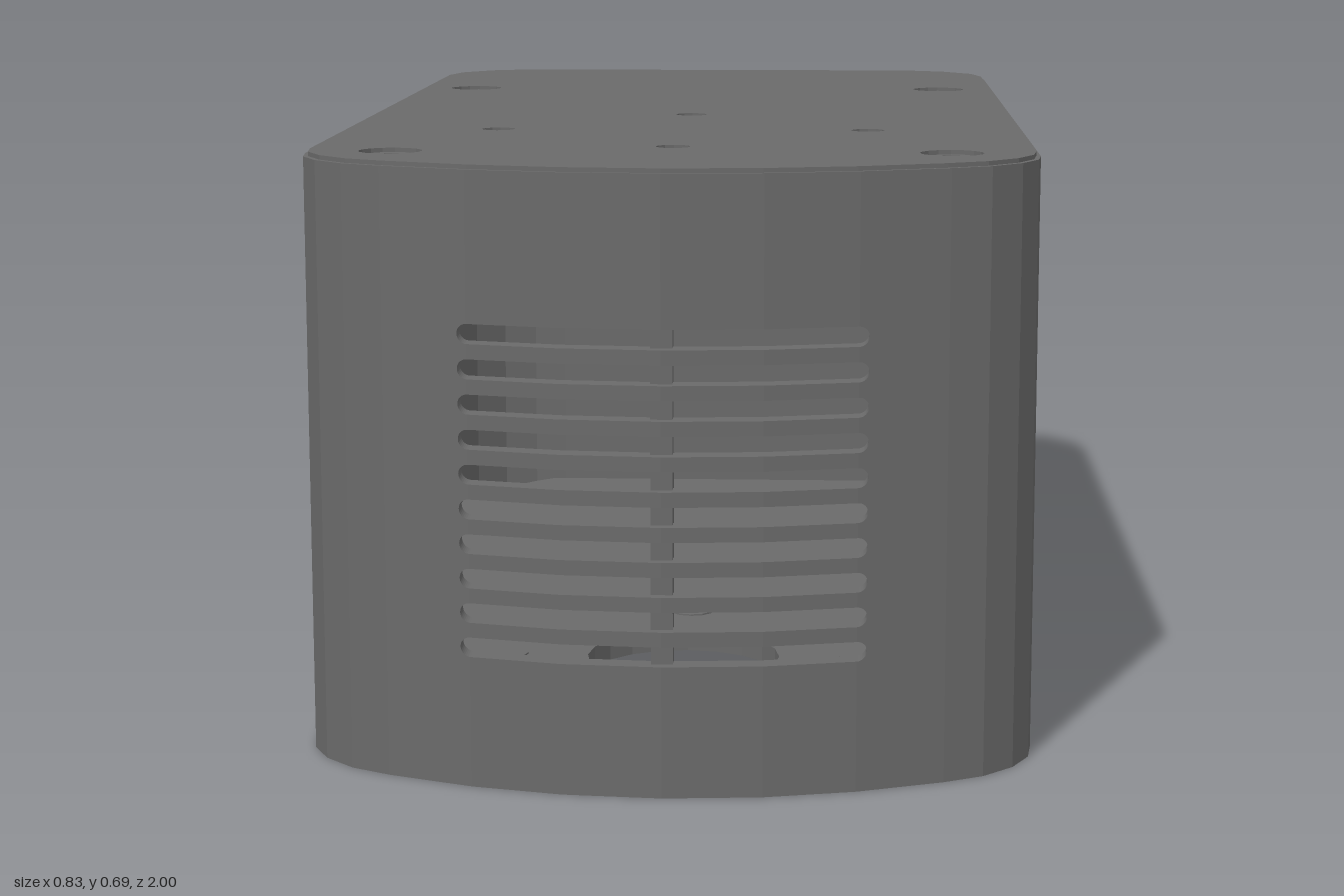
import * as THREE from 'three';

const H = 0.69, AXIS_Y = 0.362, WALL = 0.025;
const mat = new THREE.MeshStandardMaterial({ color: 0x6a6a6a, flatShading: true });

// Half outline of the case in plan [x, z], from the bowed front to the back
const HALF = [[0, 1], [0.11, 0.991], [0.212, 0.967], [0.31, 0.929], [0.355, 0.905], [0.39, 0.87],
  [0.41, 0.83], [0.415, 0.79], [0.415, -0.43], [0.402, -0.49], [0.36, -0.54], [0.31, -0.562], [0.26, -0.565]];
const ZC = 0.2175;
const inset = (pts, d) => pts.map(([x, z]) => [x * (1 - d / 0.415), ZC + (z - ZC) * (1 - d / 0.7825)]);
const mirror = pts => pts.map(([x, z]) => [-x, z]).reverse();
const toShape = pts => new THREE.Shape(pts.map(p => new THREE.Vector2(...p)));
const closed = half => [...half, ...mirror(half.slice(1))];

function hole(shape, x, y, r, seg = 12) {
  const pts = [];
  for (let i = 0; i < seg; i++) {
    const a = (i / seg) * Math.PI * 2;
    pts.push(new THREE.Vector2(x + r * Math.cos(a), y + r * Math.sin(a)));
  }
  shape.holes.push(new THREE.Path(pts));
}

// Plan shape (x, z) raised from y0 to y1
function slab(shape, y0, y1) {
  return new THREE.ExtrudeGeometry(shape, { depth: y1 - y0, bevelEnabled: false })
    .rotateX(Math.PI / 2).translate(0, y1, 0);
}

export function createModel() {
  const group = new THREE.Group();
  const add = (name, geo, parent = group) => {
    const m = new THREE.Mesh(geo, mat);
    m.name = name;
    parent.add(m);
    return m;
  };

  // Side and back walls: a C in plan, open at the front
  const top = H - 0.005;
  const outer = HALF.slice(3);
  const inner = [[0.31, 0.929 - WALL], ...inset(HALF.slice(4), WALL)];
  add('caseWalls', slab(toShape([...outer, ...mirror(outer), ...mirror(inner).reverse(), ...inner.slice().reverse()]), 0, top));

  // Front grille: bowed bars between ten rounded slots
  const grille = new THREE.Group();
  grille.name = 'frontGrille';
  group.add(grille);
  const slots = Array.from({ length: 10 }, (_, i) => 0.507 - i * 0.0387), r = 0.011;
  const front = HALF.slice(0, 3);
  const arc = [...mirror(front.slice(1)), ...front];
  const arcShape = toShape([...arc, ...arc.map(([x, z]) => [x, z - WALL]).reverse()]);
  for (let i = 0; i <= slots.length; i++) {
    const y1 = i === 0 ? top : slots[i - 1] - r;
    const y0 = i === slots.length ? 0 : slots[i] + r;
    add('grilleBar', slab(arcShape, y0, y1), grille);
  }
  for (const s of [1, -1]) {
    const shape = new THREE.Shape();
    shape.moveTo(s * 0.212, 0);
    shape.lineTo(s * 0.31, 0);
    shape.lineTo(s * 0.31, top);
    shape.lineTo(s * 0.212, top);
    for (const y of slots) {
      shape.lineTo(s * 0.212, y + r);
      shape.absarc(s * 0.212, y, r, Math.PI / 2, s > 0 ? -Math.PI / 2 : Math.PI * 1.5, s > 0);
    }
    const geo = new THREE.ExtrudeGeometry(shape, { depth: WALL, bevelEnabled: false, curveSegments: 8 });
    const p = geo.attributes.position;
    for (let i = 0; i < p.count; i++) {
      const t = (Math.abs(p.getX(i)) - 0.212) / 0.098;
      p.setZ(i, p.getZ(i) - WALL + 0.967 - 0.038 * t);
    }
    geo.computeVertexNormals();
    add('grilleEnd', geo, grille);
  }
  add('grilleRib', new THREE.BoxGeometry(0.024, 0.4, 0.025).translate(0, 0.333, 0.975), grille);

  // Screw with a socket, standing on y = 0 and facing up
  const screwGeo = new THREE.LatheGeometry([[0, -0.02], [0.03, -0.02], [0.03, -0.003], [0.027, 0], [0.014, 0], [0.014, -0.014], [0, -0.014]]
    .map(p => new THREE.Vector2(...p)), 12);

  // Lid with four screws and four small holes
  const lid = toShape(closed(inset(HALF, 0.005)));
  const lidScrews = [[0.335, -0.155], [-0.335, -0.155], [0.315, 0.81], [-0.315, 0.81]];
  const diamond = [[0, 0.3], [0.225, 0.525], [-0.225, 0.525], [0, 0.745]];
  lidScrews.forEach(([x, z]) => hole(lid, x, z, 0.036, 16));
  diamond.forEach(([x, z]) => hole(lid, x, z, 0.02));
  add('lid', slab(lid, H - 0.025, H));
  for (const [x, z] of lidScrews) {
    add('lidScrew', screwGeo).position.set(x, H - 0.004, z);
    add('screwSeat', new THREE.CylinderGeometry(0.037, 0.037, 0.006, 16)).position.set(x, H - 0.022, z);
  }

  // Base plate just inside the rim, cut back at the rear corners
  const baseHalf = [...inset(HALF.slice(0, 8), 0.024), [0.391, -0.4], [0.29, -0.515], [0.26, -0.541]];
  const base = toShape(closed(baseHalf));
  const baseScrews = [[0.335, -0.155], [-0.335, -0.155], [0.32, 0.46], [-0.32, 0.46]];
  hole(base, 0, 0.525, 0.12, 20);
  [...diamond, ...baseScrews].forEach(([x, z]) => hole(base, x, z, 0.03));
  add('basePlate', slab(base, 0.004, 0.03));
  for (const [x, z] of [...baseScrews, ...diamond.slice(0, 3)]) {
    const screw = add('baseScrew', screwGeo);
    screw.position.set(x, 0.012, z);
    screw.rotation.x = Math.PI;
  }

  // Mounting flange with four drilled ears flowing into the disc
  const flange = new THREE.Shape();
  const earDist = 0.235 * Math.SQRT2, root = 0.42;
  for (let k = 0; k < 4; k++) {
    const a = Math.PI / 4 + (k * Math.PI) / 2, c = Math.cos(a), s = Math.sin(a);
    const at = (along, side) => [along * c - side * s, along * s + side * c];
    const foot = [0.255 * Math.cos(root), 0.255 * Math.sin(root)];
    if (k === 0) flange.moveTo(...at(foot[0], -foot[1]));
    flange.quadraticCurveTo(...at(0.265, -0.045), ...at(earDist, -0.04));
    flange.absarc(...at(earDist, 0), 0.04, a - Math.PI / 2, a + Math.PI / 2, false);
    flange.quadraticCurveTo(...at(0.265, 0.045), ...at(foot[0], foot[1]));
    flange.absarc(0, 0, 0.255, a + root, a + Math.PI / 2 - root, false);
    hole(flange, ...at(earDist, 0), 0.019);
  }
  add('mountingFlange', new THREE.ExtrudeGeometry(flange, { depth: 0.035, bevelEnabled: false, curveSegments: 8 }))
    .position.set(0, AXIS_Y, -0.597);

  // Turned parts along the rear axis: [radius, distance behind centre]
  const turned = (name, pts, sides) => add(name, new THREE.LatheGeometry(pts.map(p => new THREE.Vector2(...p)), sides)
    .rotateX(-Math.PI / 2).translate(0, AXIS_Y, 0));
  turned('gearHousing', [[0.255, 0.59], [0.255, 0.743], [0.175, 0.743], [0.17, 0.725], [0.14, 0.725]], 16);
  turned('collar', [[0.152, 0.72], [0.152, 0.772], [0.115, 0.772], [0.115, 0.755], [0.09, 0.755]], 12);
  turned('outputShaft', [[0.097, 0.74], [0.097, 1], [0.06, 1], [0.06, 0.76], [0, 0.76]], 12);
  return group;
}
